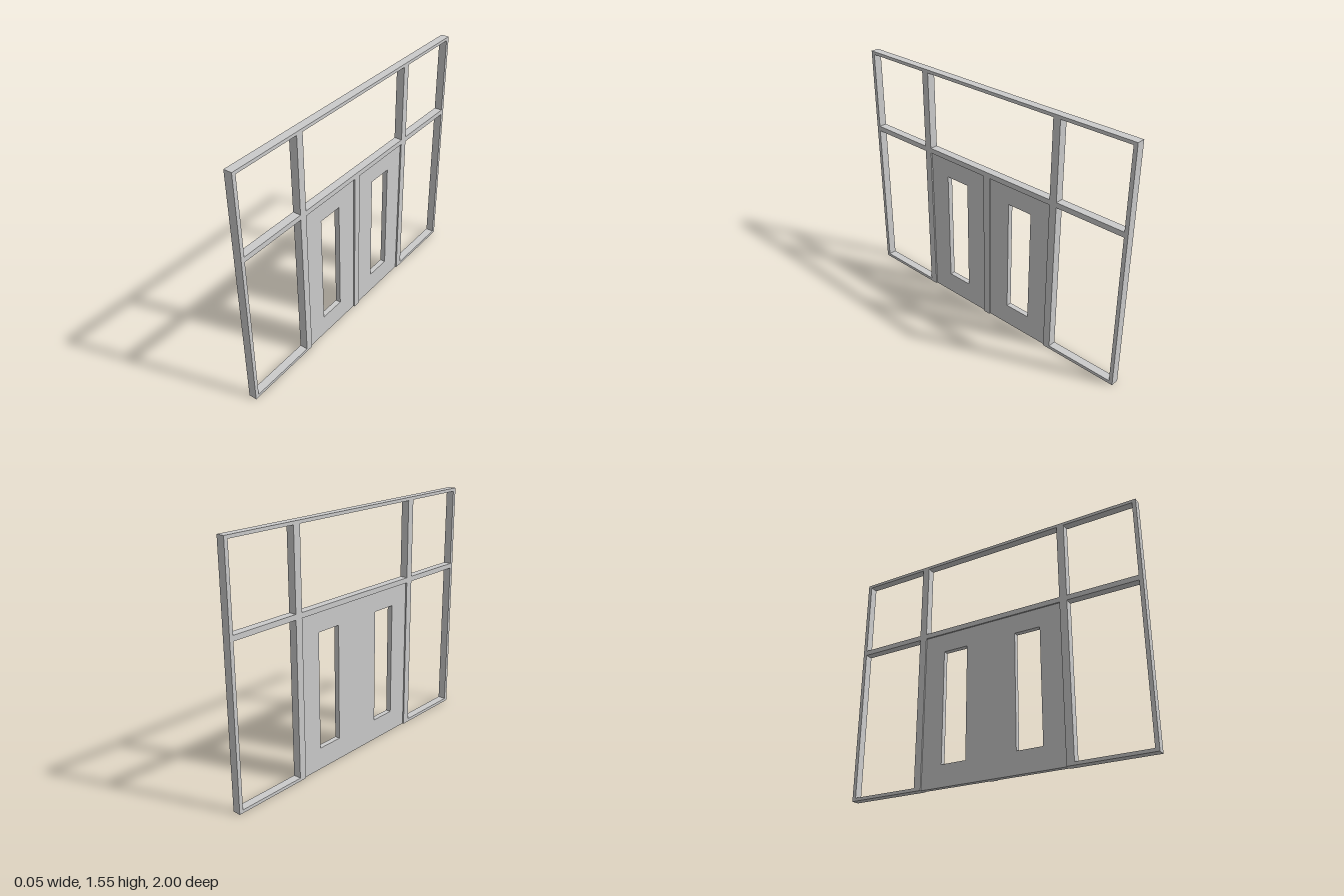
import * as THREE from 'three';

const material = new THREE.MeshStandardMaterial({ color: 0xcccccc });
const H = 1.55, DEPTH = 0.052, DOOR = 0.034;
const JAMB_IN = 0.48, JAMB_OUT = 0.528, HEAD_LOW = 1.003, HEAD_TOP = 1.036;

// Rectangular opening from corner (x0, y0) to (x1, y1)
function opening(x0, y0, x1, y1) {
  return new THREE.Path([[x0, y0], [x1, y0], [x1, y1], [x0, y1]].map(p => new THREE.Vector2(...p)));
}

// Flat panel with openings, extruded from z0 to z1
function panel(name, outline, holes, z0, z1) {
  const shape = new THREE.Shape(outline.map(p => new THREE.Vector2(...p)));
  shape.holes = holes;
  const geometry = new THREE.ExtrudeGeometry(shape, { depth: z1 - z0, bevelEnabled: false });
  geometry.translate(0, 0, z0);
  const mesh = new THREE.Mesh(geometry, material);
  mesh.name = name;
  return mesh;
}

export function createModel() {
  const model = new THREE.Group();
  model.name = 'doorwayPartition';

  // Frame: outline notched for the doorway, with window bays at the sides and above
  const bays = [opening(-JAMB_IN, HEAD_TOP, JAMB_IN, 1.53)];
  for (const [a, b] of [[-0.976, -JAMB_OUT], [JAMB_OUT, 0.976]]) {
    bays.push(opening(a, 0.02, b, HEAD_LOW), opening(a, HEAD_TOP, b, 1.53));
  }
  model.add(panel('frame', [
    [-1, 0], [-JAMB_IN, 0], [-JAMB_IN, HEAD_LOW], [JAMB_IN, HEAD_LOW],
    [JAMB_IN, 0], [1, 0], [1, H], [-1, H],
  ], bays, -DEPTH / 2, DEPTH / 2));

  // Doors: a recessed slab with two tall narrow windows
  model.add(panel('doors',
    [[-JAMB_IN, 0], [JAMB_IN, 0], [JAMB_IN, HEAD_LOW], [-JAMB_IN, HEAD_LOW]],
    [opening(-0.34, 0.14, -0.17, 0.88), opening(0.17, 0.14, 0.34, 0.88)],
    -DOOR / 2, DOOR / 2));

  // Centre post, standing proud of the doors on one face only
  model.add(panel('centrePost',
    [[-0.024, 0], [0.024, 0], [0.024, HEAD_LOW], [-0.024, HEAD_LOW]],
    [], DOOR / 2, DEPTH / 2));

  // The partition runs along z, its post side facing +x
  model.rotation.y = Math.PI / 2;
  const root = new THREE.Group();
  root.add(model);
  return root;
}
